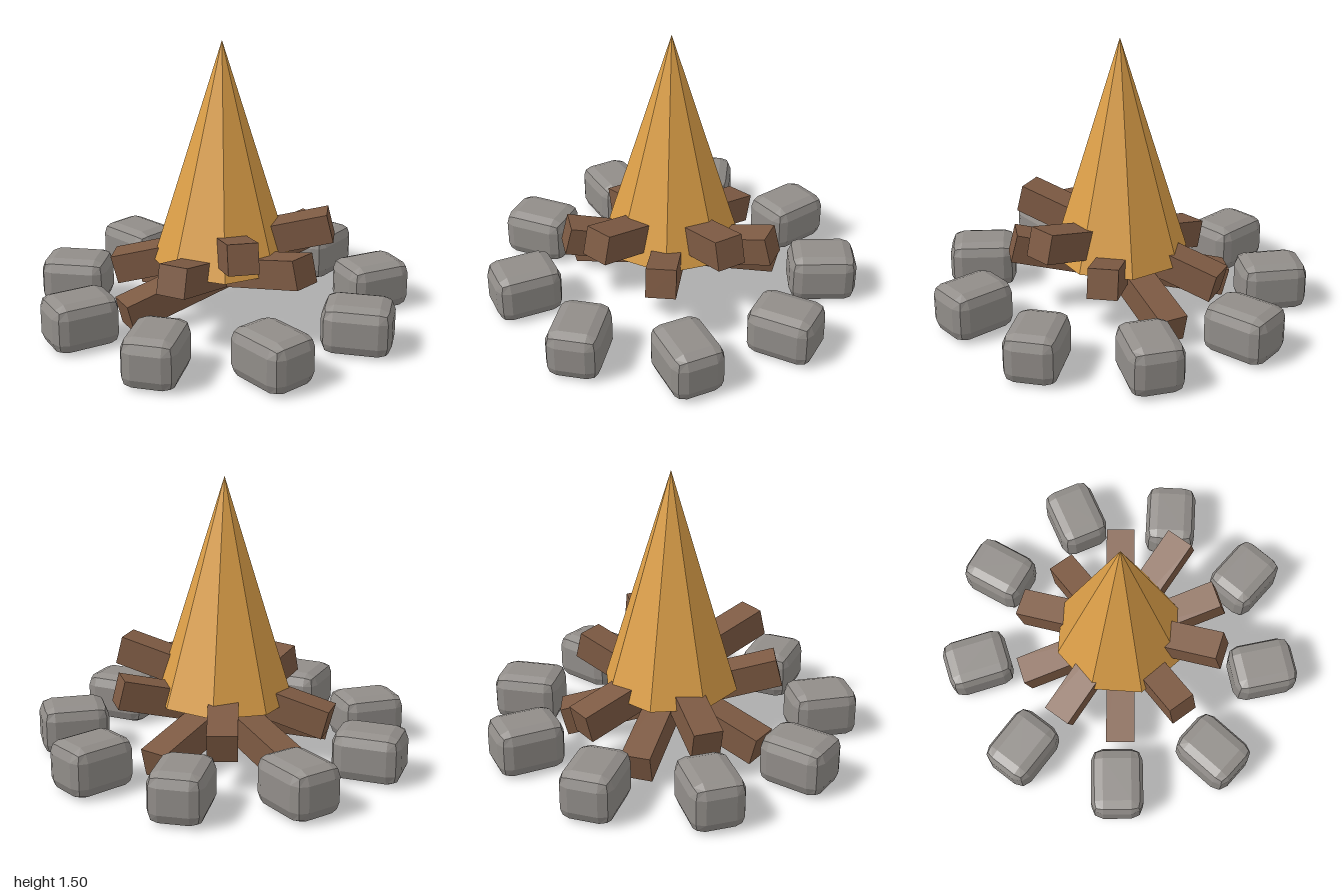
import * as THREE from 'three';
import { RoundedBoxGeometry } from 'three/addons/geometries/RoundedBoxGeometry.js';

export function createModel() {
  const model = new THREE.Group();
  model.name = 'campfire';

  const material = (name, color) => {
    const m = new THREE.MeshStandardMaterial({ color, flatShading: true });
    m.name = name;
    return m;
  };
  const flameOrange = material('flameOrange', 0xdc9f48);
  const logBrown = material('logBrown', 0x7d5a43);
  const stoneGrey = material('stoneGrey', 0x918d89);

  // The fire sits slightly off the middle of the whole
  const cx = -0.02, cz = -0.015;
  const deg = Math.PI / 180;

  // Flame: an eight-sided spire resting on the logs
  const flame = new THREE.Mesh(new THREE.ConeGeometry(0.367, 1.18, 8), flameOrange);
  flame.name = 'flame';
  flame.position.set(cx, 0.907, cz);
  model.add(flame);

  // Logs: five crossed beams, every front end raised; two lie higher
  const logs = new THREE.Group();
  logs.name = 'logs';
  const logGeometry = new THREE.BoxGeometry(0.155, 0.155, 1.185);
  for (let i = -2; i <= 2; i++) {
    const log = new THREE.Mesh(logGeometry, logBrown);
    log.name = 'log';
    log.rotation.order = 'YXZ';
    log.rotation.set(-0.25, (i * 36 - 0.8) * deg, 0);
    log.position.set(cx, Math.abs(i) === 1 ? 0.388 : 0.2525, cz);
    logs.add(log);
  }
  model.add(logs);

  // Stones: a ring of nine bevelled blocks, each turned its own way
  const stones = new THREE.Group();
  stones.name = 'stoneRing';
  const stoneGeometry = new RoundedBoxGeometry(0.36, 0.264, 0.284, 1, 0.065);
  const turns = [-5, 22, 60, 97, -29, 18, 56, 91, -42];
  turns.forEach((turn, i) => {
    const a = i * 40 * deg;
    const stone = new THREE.Mesh(stoneGeometry, stoneGrey);
    stone.name = 'stone';
    stone.position.set(cx + 0.817 * Math.cos(a), 0.132, cz + 0.817 * Math.sin(a));
    stone.rotation.y = -turn * deg;
    stones.add(stone);
  });
  model.add(stones);

  return model;
}
